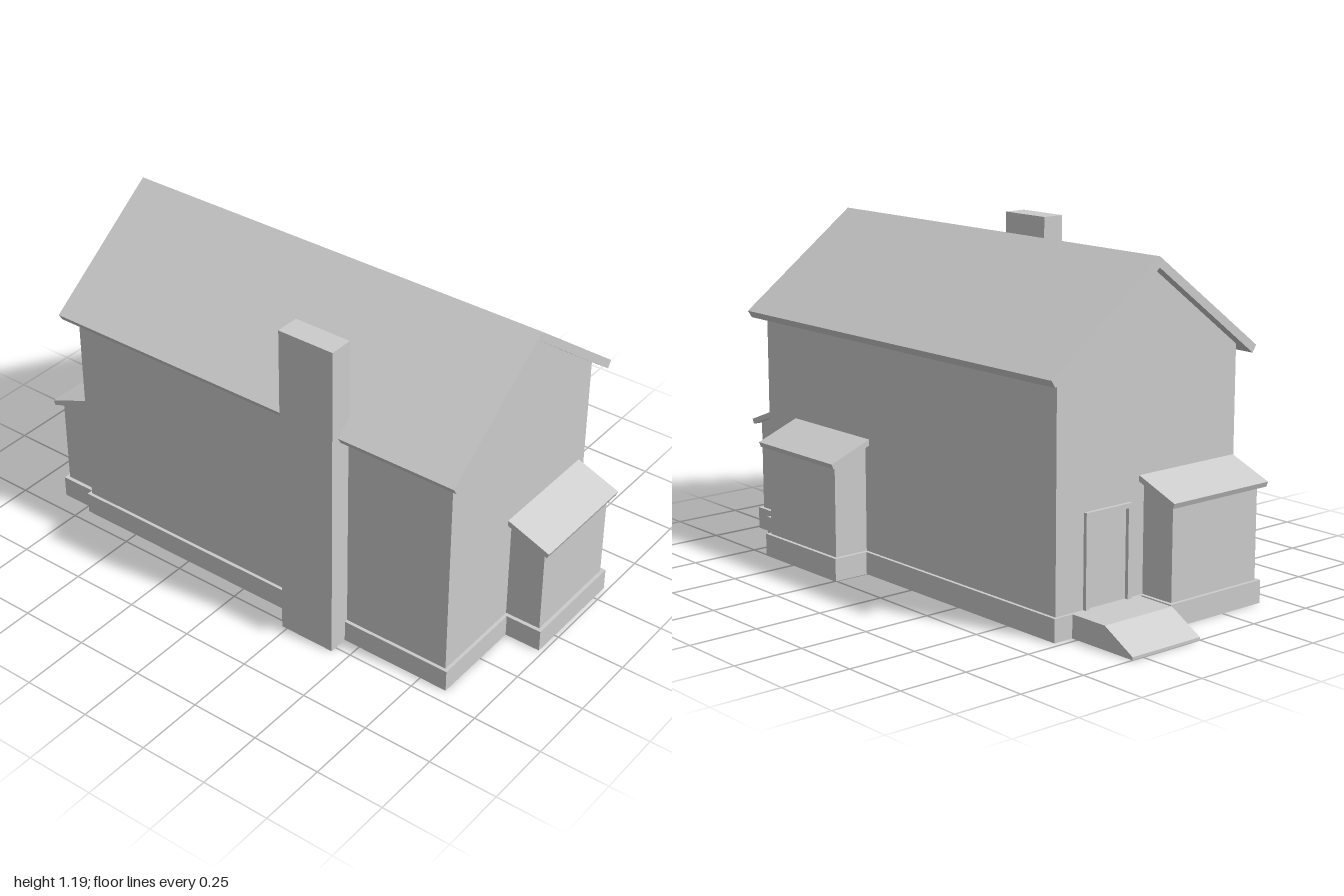
import * as THREE from 'three';

const mat = new THREE.MeshStandardMaterial({ color: 0xcccccc, flatShading: true, side: THREE.DoubleSide });

function add(parent, name, geo, x = 0, y = 0, z = 0) {
  const m = new THREE.Mesh(geo, mat);
  m.name = name;
  m.position.set(x, y, z);
  parent.add(m);
  return m;
}

// Strip of quads joining two matching lines of points
function ribbon(a, b) {
  const p = [];
  for (let i = 0; i + 1 < a.length; i++) {
    p.push(...a[i], ...a[i + 1], ...b[i + 1], ...a[i], ...b[i + 1], ...b[i]);
  }
  const g = new THREE.BufferGeometry();
  g.setAttribute('position', new THREE.Float32BufferAttribute(p, 3));
  g.computeVertexNormals();
  return g;
}

// Plan outline raised to a height that may depend on x and z
const raise = (plan, h) => plan.map(([x, z]) => [x, typeof h === 'function' ? h(x, z) : h, z]);

// Profile in (x, y) extruded along z from z0 to z1
function prism(points, z0, z1) {
  const s = new THREE.Shape(points.map(([x, y]) => new THREE.Vector2(x, y)));
  return new THREE.ExtrudeGeometry(s, { depth: z1 - z0, bevelEnabled: false }).translate(0, 0, z0);
}

const BASE = 0.08, CX = -0.04, ZF = 0.84, ZB = -0.717;

// Walls standing on a slightly wider, open-bottomed plinth
function shell(parent, plan, basePlan, top) {
  add(parent, 'walls', ribbon(raise(plan, BASE), raise(plan, top)));
  add(parent, 'plinth', ribbon(raise(basePlan, 0), raise(basePlan, BASE)));
  add(parent, 'plinthLedge', ribbon(raise(basePlan, BASE), raise(plan, BASE)));
}

// Lean-to bay: outward is +z, wall line is z = 0
function bay(parent, name, x, z, turn, half) {
  const g = new THREE.Group();
  g.name = name;
  const u = (w, d) => [[-w, 0], [-w, d], [w, d], [w, 0]];
  shell(g, u(half - 0.022, 0.132), u(half - 0.008, 0.145), (px, pz) => 0.46 - 0.39 * pz);
  // Sloping roof slab, profile turned so that it runs along x
  const roof = prism([[0, 0.46], [0.153, 0.4], [0.16, 0.418], [0, 0.481]], -half, half);
  add(g, 'bayRoof', roof.rotateY(-Math.PI / 2));
  g.position.set(x, 0, z);
  g.rotation.y = turn;
  parent.add(g);
}

export function createModel() {
  const house = new THREE.Group();
  house.name = 'house';

  // Main body with gable ends
  const outline = (w, z0, z1) => [
    [CX - w, z1], [CX, z1], [CX + w, z1], [CX + w, z0], [CX, z0], [CX - w, z0], [CX - w, z1],
  ];
  const body = new THREE.Group();
  body.name = 'body';
  shell(body, outline(0.398, ZB, ZF), outline(0.41, ZB - 0.01, ZF + 0.012),
    (x) => 1.152 - 0.742 * Math.abs(x - CX));
  house.add(body);

  // Gable roof
  add(house, 'roof', prism([
    [CX, 1.188], [CX - 0.454, 0.851], [CX - 0.438, 0.826],
    [CX, 1.152], [CX + 0.438, 0.826], [CX + 0.454, 0.851],
  ], -0.755, 0.88));

  // Chimney against the side wall
  add(house, 'chimney', new THREE.BoxGeometry(0.087, 1.183, 0.21), -0.479, 0.5915, 0.335);

  // Three lean-to bays
  bay(house, 'frontBay', 0.11, ZF, 0, 0.215);
  bay(house, 'sideBay', CX + 0.398, 0.457, Math.PI / 2, 0.2175);
  bay(house, 'backBay', -0.218, ZB, Math.PI, 0.2175);

  // Back landing sloping down as a ramp
  const ramp = prism([[ZB, 0], [-1, 0], [-1, 0.01], [-0.875, BASE], [ZB, BASE]], 0, 0.295);
  add(house, 'ramp', ramp.rotateY(-Math.PI / 2), 0.295, 0, 0);

  // Back door frame
  const frame = new THREE.Group();
  frame.name = 'doorFrame';
  for (const x of [0.048, 0.232]) {
    add(frame, 'doorPost', new THREE.BoxGeometry(0.016, 0.32, 0.014), x, 0.24, ZB - 0.006);
  }
  add(frame, 'doorHead', new THREE.BoxGeometry(0.168, 0.016, 0.014), 0.14, 0.392, ZB - 0.006);
  house.add(frame);

  return house;
}
